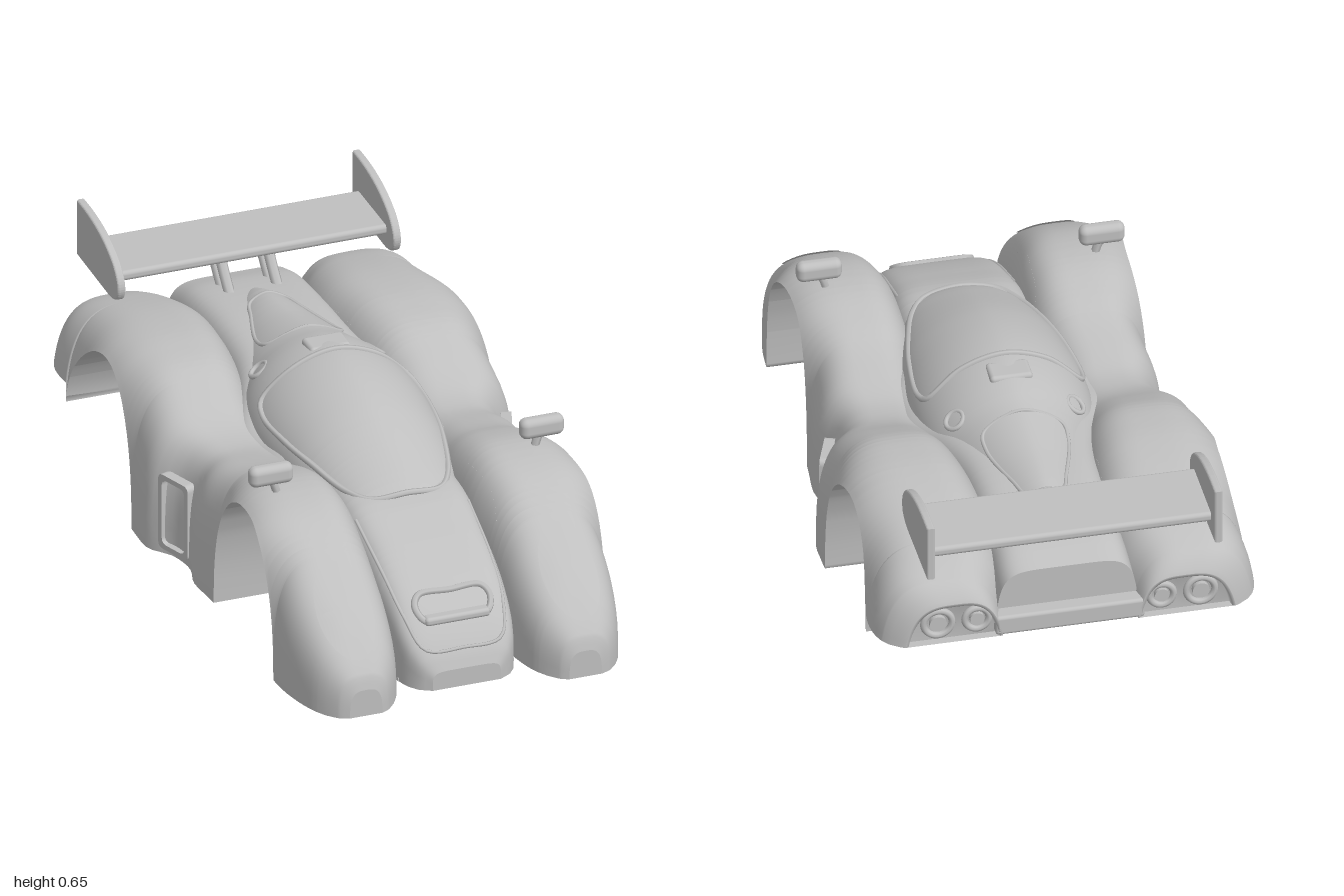
import * as THREE from 'three';
import { RoundedBoxGeometry } from 'three/addons/geometries/RoundedBoxGeometry.js';

const paint = new THREE.MeshStandardMaterial({ color: 0xbfbfbf, side: THREE.DoubleSide });
paint.name = 'grey paint';

// Smooth interpolation of a table whose rows are [z, a, b, ...], z descending
function spline(rows) {
  const slope = (i, k) => {
    const a = rows[Math.max(i - 1, 0)], b = rows[Math.min(i + 1, rows.length - 1)];
    return (b[k] - a[k]) / (b[0] - a[0]);
  };
  return z => {
    let i = 0;
    while (i < rows.length - 2 && z < rows[i + 1][0]) i++;
    const a = rows[i], b = rows[i + 1], h = b[0] - a[0];
    const t = Math.min(1, Math.max(0, (z - a[0]) / h)), t2 = t * t, t3 = t2 * t;
    return a.slice(1).map((v, k) => (2 * t3 - 3 * t2 + 1) * v + (3 * t2 - 2 * t3) * b[k + 1]
      + h * ((t3 - 2 * t2 + t) * slope(i, k + 1) + (t3 - t2) * slope(i + 1, k + 1)));
  };
}

// z, inner x, outer x, crest height
const fender = spline([
  [0.995, 0.275, 0.37, 0.1], [0.985, 0.255, 0.395, 0.135], [0.96, 0.23, 0.422, 0.17], [0.9, 0.198, 0.454, 0.23],
  [0.8, 0.176, 0.48, 0.313], [0.7, 0.168, 0.488, 0.387], [0.6, 0.16, 0.486, 0.437], [0.5, 0.15, 0.475, 0.46],
  [0.4, 0.15, 0.472, 0.462], [0.3, 0.15, 0.476, 0.44], [0.2, 0.16, 0.483, 0.405], [0.1, 0.17, 0.49, 0.38],
  [0.04, 0.17, 0.474, 0.367], [0, 0.17, 0.472, 0.363], [-0.07, 0.17, 0.49, 0.37], [-0.13, 0.17, 0.535, 0.39],
  [-0.2, 0.17, 0.54, 0.425], [-0.3, 0.155, 0.535, 0.468], [-0.4, 0.14, 0.525, 0.482], [-0.5, 0.13, 0.516, 0.483],
  [-0.65, 0.12, 0.52, 0.466], [-0.8, 0.14, 0.54, 0.432], [-0.88, 0.17, 0.53, 0.405], [-0.93, 0.18, 0.495, 0.375],
  [-0.945, 0.18, 0.465, 0.345]]);
// z, half width, crest height
const center = spline([
  [0.925, 0.1, 0.075], [0.9, 0.14, 0.13], [0.85, 0.165, 0.19], [0.78, 0.177, 0.252], [0.7, 0.185, 0.297],
  [0.6, 0.19, 0.34], [0.47, 0.2, 0.382], [0.3, 0.21, 0.39], [0.2, 0.25, 0.39], [0.1, 0.3, 0.385], [0, 0.32, 0.375],
  [-0.1, 0.32, 0.39], [-0.25, 0.25, 0.43], [-0.4, 0.21, 0.445], [-0.6, 0.2, 0.445], [-0.8, 0.2, 0.425],
  [-0.9, 0.2, 0.395]]);
const canopy = spline([
  [0.49, 0.07, 0.365], [0.46, 0.135, 0.393], [0.35, 0.185, 0.445], [0.2, 0.225, 0.505], [0.1, 0.24, 0.533],
  [0, 0.25, 0.55], [-0.1, 0.25, 0.555], [-0.2, 0.235, 0.545], [-0.3, 0.2, 0.52], [-0.45, 0.16, 0.492],
  [-0.65, 0.1, 0.462], [-0.76, 0.05, 0.42]]);
// Roundness of the three sections
const FENDER = 3.2, CENTER = 6, CANOPY = 1.78;

// Height of a superellipse section with half width w about x = 0
const arc = (x, w, base, top, p) =>
  base + (top - base) * Math.pow(Math.max(0, 1 - Math.pow(Math.abs(x / w), p)), 1 / p);
const fenderY = (x, z) => {
  const [i, o, f] = fender(z);
  return arc(x - (i + o) / 2, (o - i) / 2, 0.02, f, FENDER);
};
const centerY = (x, z) => arc(x, center(z)[0], 0.02, center(z)[1], CENTER);
const canopyY = (x, z) => arc(x, canopy(z)[0], 0.34, canopy(z)[1], CANOPY);

// Wheel arches and the lower edge of the body
const ARCHES = [{ z: 0.47, w: 0.24 }, { z: -0.51, w: 0.255 }];
const inArch = z => ARCHES.some(a => Math.abs(z - a.z) < a.w);
function lowerEdge(z) {
  const tail = z < -0.51;
  for (const a of ARCHES) if (Math.abs(z - a.z) < a.w) return arc(z - a.z, a.w, tail ? 0.16 : 0.02, 0.42, tail ? 1.8 : 2.5);
  return z < -0.7 ? 0.22 : 0.02;
}
const innerEdge = z => (inArch(z) ? Math.min(0.15, lowerEdge(z)) : lowerEdge(z));

// Stations along z, dense at the arch ends
const STATIONS = [0.995, 0.99, 0.985, 0.925, 0.915, -0.9, -0.94, -0.945];
for (let z = 0.98; z > -0.94; z -= 0.025) STATIONS.push(z);
for (const a of ARCHES) {
  STATIONS.push(a.z + a.w + 1e-4, a.z - a.w - 1e-4);
  for (let i = 0; i <= 28; i++) {
    const c = Math.cos(Math.PI * i / 28);
    STATIONS.push(a.z + Math.sign(c) * Math.pow(Math.abs(c), 0.8) * (a.w - 1e-5));
  }
}
STATIONS.sort((a, b) => b - a);
const between = (lo, hi) => STATIONS.filter(z => z >= lo && z <= hi);

// Superellipse section, trimmed at two lower heights
function section(z, x0, x1, base, top, p, trim0, trim1, n = 32) {
  const cut = y => Math.asin(Math.pow(Math.min(0.98, Math.max(0, (y - base) / (top - base))), p / 2));
  const a = cut(trim0), b = Math.PI - cut(trim1), out = [];
  for (let i = 0; i <= n; i++) {
    const t = a + (b - a) * i / n, c = -Math.cos(t), s = Math.max(0, Math.sin(t));
    out.push([(x0 + x1) / 2 + (x1 - x0) / 2 * Math.sign(c) * Math.pow(Math.abs(c), 2 / p),
      base + (top - base) * Math.pow(s, 2 / p), z]);
  }
  return out;
}

// Fender section whose outer half is widened so the arch lip reaches the full width
function fenderSection(z) {
  const [i, o, f] = fender(z), mid = (i + o) / 2;
  const pts = section(z, i, o, 0.02, f, FENDER, innerEdge(z), lowerEdge(z));
  const widen = (o - mid) / (pts.at(-1)[0] - mid);
  return pts.map(([x, y]) => [x > mid ? mid + (x - mid) * widen : x, y, z]);
}

// Surface through rows of points
function grid(rows, s = 1) {
  const n = rows[0].length, idx = [];
  for (let r = 0; r < rows.length - 1; r++) for (let i = 0; i < n - 1; i++) {
    const a = r * n + i, b = a + n;
    if (s > 0) idx.push(a, a + 1, b, a + 1, b + 1, b);
    else idx.push(a, b, a + 1, a + 1, b, b + 1);
  }
  const g = new THREE.BufferGeometry();
  g.setAttribute('position', new THREE.Float32BufferAttribute(rows.flat().flatMap(q => [s * q[0], q[1], q[2]]), 3));
  g.setIndex(idx);
  g.computeVertexNormals();
  return g;
}
// End face of a loft, dished inward by a depth
const cap = (ring, dish = 0) => {
  const mid = (ring[0][0] + ring.at(-1)[0]) / 2, low = ring[0][1];
  return [[1, 0], [0.94, 0], [0.9, dish], [0, dish]].map(([k, d]) =>
    ring.map(([x, y, z]) => [mid + (x - mid) * k, low + (y - low) * k, z + d]));
};

export function createModel() {
  const car = new THREE.Group();
  const add = (name, geo, x = 0, y = 0, z = 0) => {
    const m = new THREE.Mesh(geo, paint);
    m.name = name;
    m.position.set(x, y, z);
    car.add(m);
    return m;
  };
  const tube = (name, pts, r, closed = false, seg = 64) => add(name, new THREE.TubeGeometry(
    new THREE.CatmullRomCurve3(pts.map(q => new THREE.Vector3(...q)), closed, 'centripetal'), seg, r, 6, closed));
  const loft = (name, rows, s = 1, dish = 0) => {
    add(name, grid(rows, s));
    add(name + 'FrontCap', grid(cap(rows[0]), -s));
    add(name + 'RearCap', grid(cap(rows.at(-1), dish), s));
  };

  // Central body and canopy
  loft('centralBody', between(-0.9, 0.925).map(z => {
    const [w, h] = center(z);
    return section(z, -w, w, 0.02, h, CENTER, innerEdge(z), innerEdge(z), 44);
  }));
  loft('canopy', between(-0.76, 0.49).map(z => {
    const [w, h] = canopy(z);
    return section(z, -w, w, 0.34, h, CANOPY, 0.34, 0.34, 36);
  }));
  add('middleFloor', new THREE.BoxGeometry(0.4, 0.01, 0.49), 0, 0.025, -0.015);
  add('noseFloor', new THREE.BoxGeometry(0.34, 0.01, 0.13), 0, 0.025, 0.775);
  add('rearBumper', new RoundedBoxGeometry(0.42, 0.06, 0.06, 3, 0.01), 0, 0.25, -0.915);

  for (const s of [1, -1]) {
    // Fenders with their wheel wells and underside
    const rows = between(-0.945, 0.995).map(fenderSection);
    loft('fender', rows, s, 0.025);
    add('wheelWell', grid(rows.map(r => {
      const q = r.at(-1), [i, o, f] = fender(q[2]), mid = (i + o) / 2;
      return [[arc(q[1] - 0.02, f - 0.02, mid, i, FENDER), q[1], q[2]], q];
    }), -s));

    // Headlight lens
    const lens = [0, 0.35, 0.7, 1].map(k => Array.from({ length: 33 }, (_, i) => {
      const t = i * Math.PI / 16, x = 0.33 + 0.08 * k * Math.cos(t), z = 0.845 + 0.115 * k * Math.sin(t);
      return [x, fenderY(x, z) + 0.005, z];
    }));
    add('headlight', grid(lens, -s));

    // Side vent frame
    const ring = new THREE.Shape(), hole = new THREE.Path();
    const outline = (p, w, h) => p.moveTo(-w, -h + 0.02).lineTo(-w, h - 0.02).quadraticCurveTo(-w, h, -w + 0.02, h)
      .lineTo(w - 0.02, h).quadraticCurveTo(w, h, w, h - 0.02).lineTo(w, -h + 0.02)
      .quadraticCurveTo(w, -h, w - 0.02, -h).lineTo(-w + 0.02, -h).quadraticCurveTo(-w, -h, -w, -h + 0.02);
    outline(ring, 0.062, 0.115);
    outline(hole, 0.047, 0.1);
    ring.holes.push(hole);
    const vent = new THREE.ExtrudeGeometry(ring, { depth: 0.03, bevelEnabled: false });
    vent.translate(0, 0, -0.015).rotateY(Math.PI / 2);
    add('sideVent', vent, s * 0.484, 0.155, -0.045).rotation.y = -s * 0.35;

    // Mirrors
    add('mirror', new RoundedBoxGeometry(0.128, 0.06, 0.045, 4, 0.02), s * 0.398, 0.516, 0.452);
    tube('mirrorStalk', [[s * 0.375, 0.44, 0.45], [s * 0.385, 0.475, 0.45], [s * 0.395, 0.5, 0.45]], 0.012, false, 8);

    // Tail lamps set into the dished tail
    for (const [x, r] of [[0.26, 0.034], [0.37, 0.04]]) {
      add('tailLampRing', new THREE.TorusGeometry(r, 0.01, 8, 28), s * x, 0.277, -0.926);
      const lamp = add('tailLamp', new THREE.CylinderGeometry(r * 0.6, r * 0.6, 0.016, 24), s * x, 0.277, -0.926);
      lamp.rotation.x = Math.PI / 2;
    }

    // Filler caps
    const filler = add('fillerCap', new THREE.TorusGeometry(0.028, 0.007, 8, 24), s * 0.17, canopyY(0.17, -0.24), -0.24);
    filler.lookAt(s * 0.6, 1.05, -0.4);

    // Wing end plates and struts
    const plate = new THREE.Shape();
    plate.moveTo(-1, 0.48).lineTo(-1, 0.65).quadraticCurveTo(-0.82, 0.655, -0.72, 0.59)
      .quadraticCurveTo(-0.66, 0.54, -0.69, 0.495).quadraticCurveTo(-0.71, 0.475, -0.76, 0.475).closePath();
    const end = new THREE.ExtrudeGeometry(plate, { depth: 0.012, bevelSize: 0.006, bevelThickness: 0.006, bevelOffset: -0.006, bevelSegments: 3 });
    end.translate(0, 0, -0.006).rotateY(-Math.PI / 2);
    add('wingEndPlate', end, s * 0.405, 0, 0);
    for (const z of [-0.71, -0.78])
      tube('wingStrut', [[s * 0.07, 0.41, z], [s * 0.07, 0.47, z - 0.06], [s * 0.07, 0.53, z - 0.11]], 0.016, false, 6);
  }

  // Wing
  add('wing', new RoundedBoxGeometry(0.8, 0.03, 0.225, 3, 0.012), 0, 0.535, -0.845);

  // Raised seams on the canopy and nose
  const mirrored = half => [...half, ...half.slice().reverse().filter(q => q[0] > 0).map(q => [-q[0], q[1]])];
  const seam = (name, pts, f, r) => tube(name, pts.map(([x, z]) => [x, f(x, z), z]), r, true, 120);
  seam('windscreenFrame', mirrored([[0, -0.1], [0.12, -0.1], [0.215, -0.1], [0.23, -0.05], [0.22, 0.1], [0.195, 0.23],
    [0.15, 0.38], [0.1, 0.45], [0, 0.465]]), canopyY, 0.009);
  seam('rearWindowFrame', mirrored([[0, -0.63], [0.05, -0.62], [0.075, -0.55], [0.115, -0.4], [0.11, -0.34], [0, -0.32]]),
    canopyY, 0.006);
  seam('noseIntakeRim', mirrored([[0, 0.785], [0.09, 0.785], [0.11, 0.81], [0.09, 0.845], [0, 0.845]]), centerY, 0.01);
  tube('nosePanelSeam', [[0.165, 0.5], [0.158, 0.7], [0.145, 0.82], [0.11, 0.895], [0, 0.902], [-0.11, 0.895],
    [-0.145, 0.82], [-0.158, 0.7], [-0.165, 0.5]].map(([x, z]) => [x, centerY(x, z), z]), 0.005);
  add('noseIntakeLip', new RoundedBoxGeometry(0.19, 0.025, 0.05, 3, 0.01), 0, 0.195, 0.835);
  add('roofScoop', new RoundedBoxGeometry(0.12, 0.03, 0.08, 3, 0.012), 0, 0.536, -0.165);

  // Chassis spine and axles
  const spine = new THREE.Shape();
  spine.moveTo(0.43, 0).lineTo(0.46, 0.04).lineTo(0.35, 0.13).lineTo(-0.52, 0.13).lineTo(-0.52, 0.03).lineTo(-0.49, 0).closePath();
  const beam = new THREE.ExtrudeGeometry(spine, { depth: 0.11, bevelEnabled: false });
  beam.translate(0, 0, -0.055).rotateY(-Math.PI / 2);
  add('chassisSpine', beam);
  for (const z of [0.47, -0.52]) {
    const shaft = add('axle', new THREE.CylinderGeometry(0.06, 0.06, 0.62, 20), 0, 0.175, z);
    const housing = [[0.06, -0.19], [0.135, -0.13], [0.135, 0.13], [0.06, 0.19]].map(q => new THREE.Vector2(...q));
    const hub = add('axleHousing', new THREE.LatheGeometry(housing, 16), 0, 0.175, z);
    shaft.rotation.z = hub.rotation.z = Math.PI / 2;
  }
  add('tailTow', new THREE.BoxGeometry(0.06, 0.03, 0.05), 0, 0.21, -0.86);
  return car;
}
